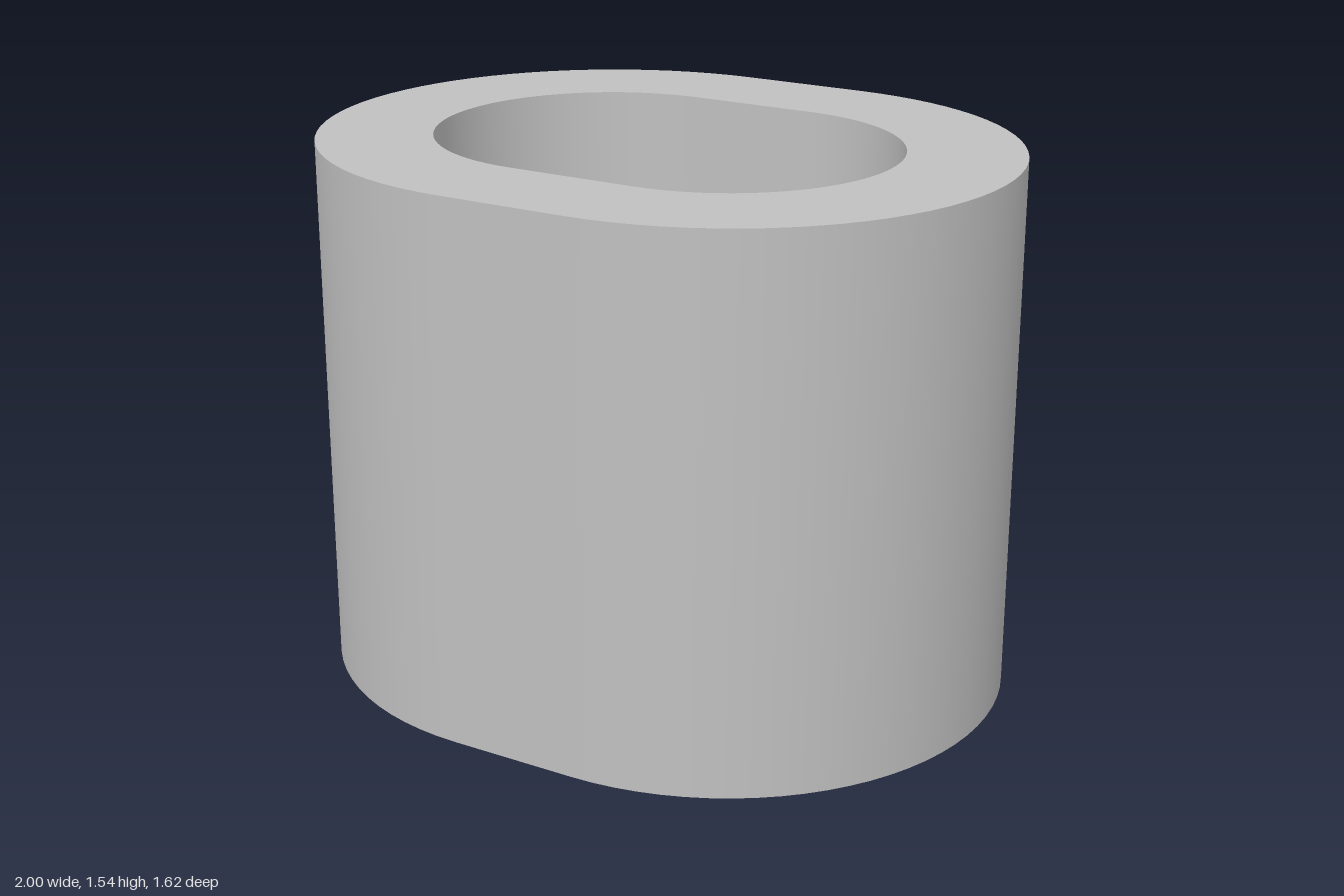
import * as THREE from 'three';

const HEIGHT = 1.54, FLOOR = 0.32, HALF_STRAIGHT = 0.1875;
const SEGMENTS = 40;

// Outline with two round ends joined by straight sides, anticlockwise
function slotPoints(radius, halfStraight) {
  const points = [];
  for (const side of [1, -1]) {
    for (let i = 0; i <= SEGMENTS; i++) {
      const a = -Math.PI / 2 + (Math.PI * i) / SEGMENTS;
      points.push(new THREE.Vector2(side * (halfStraight + radius * Math.cos(a)), side * radius * Math.sin(a)));
    }
  }
  return points;
}

function circlePoints(radius) {
  return Array.from({ length: SEGMENTS * 2 }, (_, i) => {
    const a = (Math.PI * i) / SEGMENTS;
    return new THREE.Vector2(radius * Math.cos(a), radius * Math.sin(a));
  });
}

// Smooth vertical wall following an outline
function wallGeometry(points, bottom, top, inward) {
  const positions = [], index = [], n = points.length;
  points.forEach((p, i) => {
    positions.push(p.x, bottom, -p.y, p.x, top, -p.y);
    const a = 2 * i, b = 2 * ((i + 1) % n);
    if (inward) index.push(a, b + 1, b, a, a + 1, b + 1);
    else index.push(a, b, b + 1, a, b + 1, a + 1);
  });
  const geometry = new THREE.BufferGeometry();
  geometry.setAttribute('position', new THREE.Float32BufferAttribute(positions, 3));
  geometry.setIndex(index);
  geometry.computeVertexNormals();
  return geometry;
}

// Flat horizontal face with a hole
function faceGeometry(outline, hole, y, down) {
  const shape = new THREE.Shape(outline);
  shape.holes.push(new THREE.Path(hole));
  return new THREE.ShapeGeometry(shape)
    .rotateX(down ? Math.PI / 2 : -Math.PI / 2)
    .translate(0, y, 0);
}

export function createModel() {
  const group = new THREE.Group();
  group.name = 'slottedCup';
  const grey = new THREE.MeshStandardMaterial({ color: 0xc0c0c0 });
  grey.name = 'light grey';

  const add = (name, geometry) => {
    const mesh = new THREE.Mesh(geometry, grey);
    mesh.name = name;
    group.add(mesh);
  };

  const outer = slotPoints(0.8125, HALF_STRAIGHT);
  const inner = slotPoints(0.4875, HALF_STRAIGHT);
  const bore = circlePoints(0.1875);

  // Body and rim
  add('outerWall', wallGeometry(outer, 0, HEIGHT, false));
  add('rim', faceGeometry(outer, inner, HEIGHT, false));
  // Cavity
  add('cavityWall', wallGeometry(inner, FLOOR, HEIGHT, true));
  add('cavityFloor', faceGeometry(inner, bore, FLOOR, false));
  // Drain hole through the floor
  add('boreWall', wallGeometry(bore, 0, FLOOR, true));
  add('underside', faceGeometry(outer, bore, 0, true));

  return group;
}
